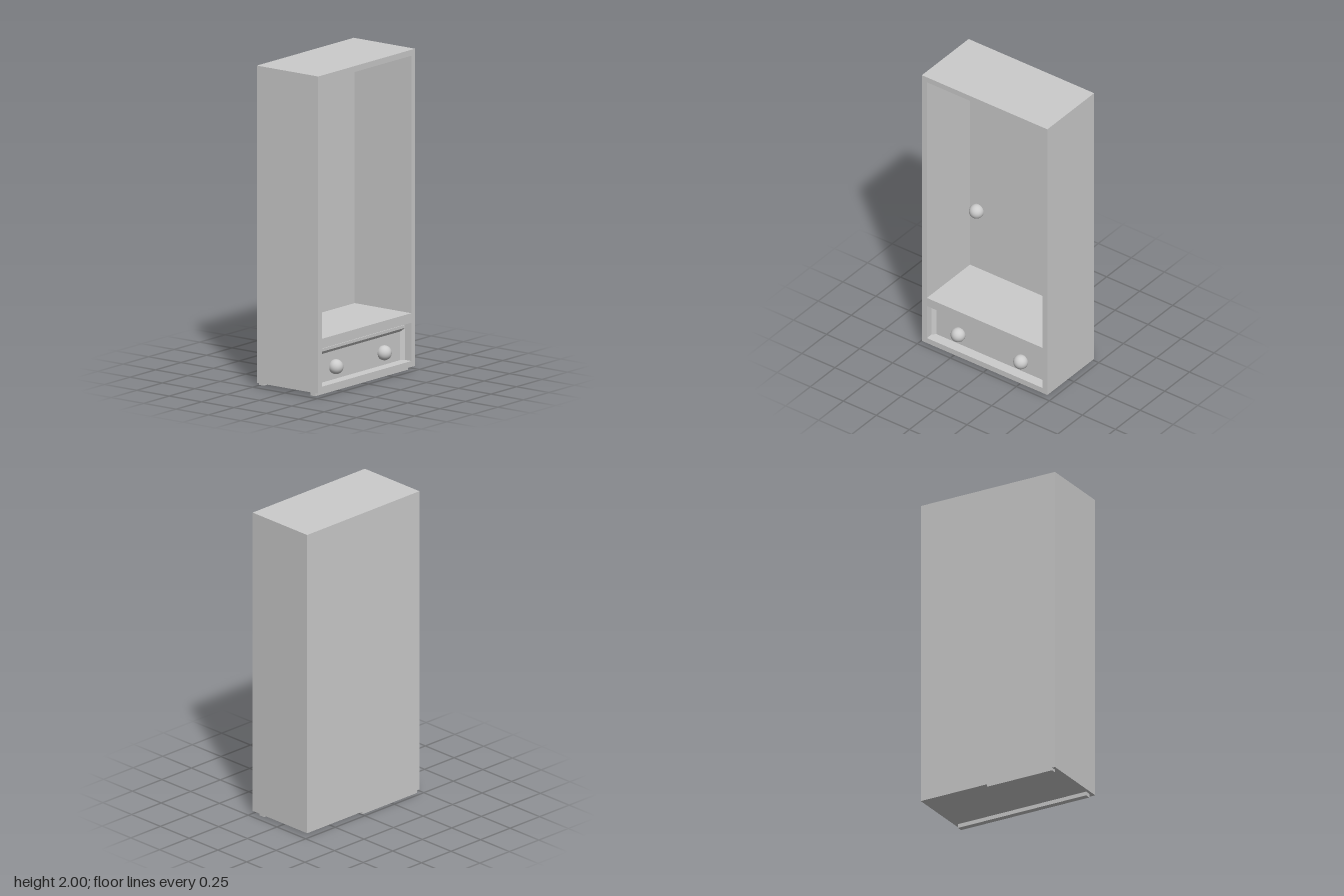
import * as THREE from 'three';

export function createModel() {
  const group = new THREE.Group();
  group.name = 'cabinet';
  const material = new THREE.MeshStandardMaterial({ color: 0xcccccc });

  const add = (name, geometry) => {
    const mesh = new THREE.Mesh(geometry, material);
    mesh.name = name;
    group.add(mesh);
    return mesh;
  };
  // Box given by its limits on each axis
  const box = (name, [x0, x1], [y0, y1], [z0, z1]) =>
    add(name, new THREE.BoxGeometry(x1 - x0, y1 - y0, z1 - z0))
      .position.set((x0 + x1) / 2, (y0 + y1) / 2, (z0 + z1) / 2);
  const rect = (target, x0, x1, y0, y1) => {
    target.moveTo(x0, y0).lineTo(x1, y0).lineTo(x1, y1).lineTo(x0, y1).closePath();
    return target;
  };

  const W = 0.475, D = 0.237, IN = 0.437, BACK = -0.2;
  const BOTTOM = 0.025, FLOOR = 0.062;

  // Case: one frame with the wardrobe and drawer openings cut through
  const frame = rect(new THREE.Shape(), -W, W, BOTTOM, 2);
  frame.holes.push(
    rect(new THREE.Path(), -IN, IN, 0.36, 1.963),
    rect(new THREE.Path(), -IN, IN, FLOOR, 0.3),
  );
  add('caseFrame', new THREE.ExtrudeGeometry(frame, { depth: D - BACK, bevelEnabled: false }))
    .position.z = BACK;
  box('backPanel', [-W, W], [BOTTOM, 2], [-D, BACK]);

  // Drawer: box, top rail and a recessed front with sloped edges
  const RIM = 0.19, FACE = 0.169, SLOPE = 0.022, RAIL = 0.262;
  box('drawerBox', [-IN, IN], [FLOOR, 0.28], [BACK, FACE]);
  box('drawerRail', [-IN, IN], [RAIL, 0.28], [FACE, RIM]);

  const wedge = (length) => {
    const s = new THREE.Shape();
    s.moveTo(0, 0).lineTo(SLOPE, 0).lineTo(0, RIM - FACE).closePath();
    return new THREE.ExtrudeGeometry(s, { depth: length, bevelEnabled: false });
  };
  // Wedge profile: first axis points into the opening, second points forward
  const place = (name, length, inward, along, origin) => {
    const g = wedge(length);
    g.applyMatrix4(new THREE.Matrix4().makeBasis(inward, new THREE.Vector3(0, 0, 1), along));
    add(name, g).position.copy(origin);
  };
  const v = (x, y, z) => new THREE.Vector3(x, y, z);
  place('drawerSlopeRight', RAIL - FLOOR, v(1, 0, 0), v(0, -1, 0), v(-IN, RAIL, FACE));
  place('drawerSlopeLeft', RAIL - FLOOR, v(-1, 0, 0), v(0, 1, 0), v(IN, FLOOR, FACE));
  place('drawerSlopeTop', 2 * IN, v(0, -1, 0), v(-1, 0, 0), v(IN, RAIL, FACE));

  // Round knobs
  const knob = new THREE.SphereGeometry(0.046, 32, 20);
  add('wardrobeKnob', knob).position.set(-0.376, 0.792, -0.184);
  add('drawerKnobRight', knob).position.set(-0.238, 0.143, 0.187);
  add('drawerKnobLeft', knob).position.set(0.236, 0.143, 0.187);

  // Runners under the case
  box('frontRunner', [-0.455, 0.452], [0, BOTTOM], [0.163, 0.2]);
  box('backRunner', [-0.455, 0.005], [0.008, BOTTOM], [-D, BACK]);

  return group;
}
